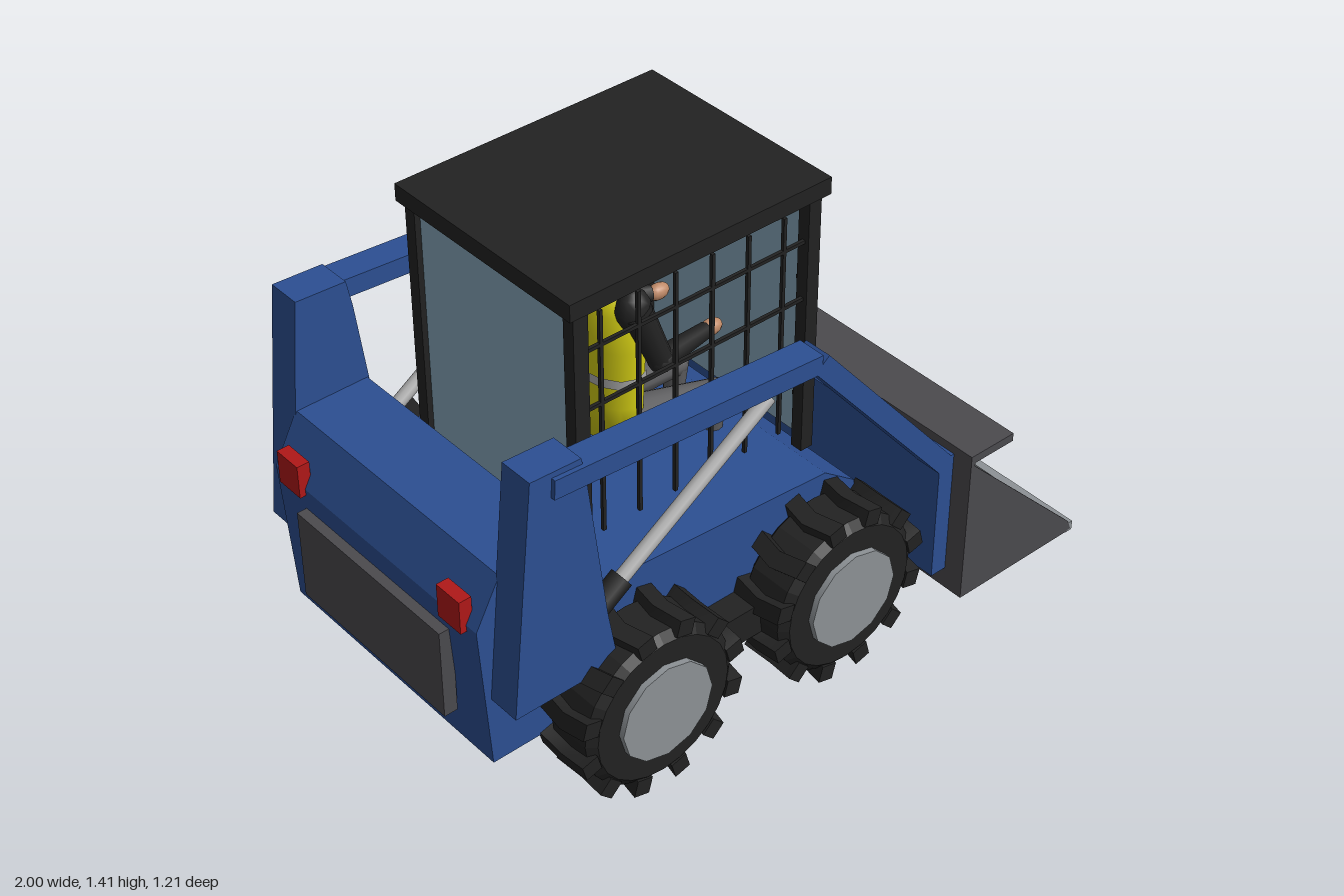
import * as THREE from 'three';

const mat = (name, color, double) => {
  const m = new THREE.MeshStandardMaterial({ color });
  m.name = name;
  if (double) m.side = THREE.DoubleSide;
  return m;
};

export function createModel() {
  const root = new THREE.Group();
  root.name = 'bucketVehicle';
  const blue = mat('bodyBlue', 0x2c4f92), black = mat('black', 0x222222), rim = mat('rimGrey', 0x8d9296),
    steel = mat('bucketSteel', 0x4b4a4e), glass = mat('glass', 0x87a8bc, true), silver = mat('silver', 0xb0b0b0),
    red = mat('lampRed', 0xb01818), yellow = mat('vestYellow', 0xd2cc14), skin = mat('skin', 0xc08a68),
    grey = mat('trouserGrey', 0x5c5c5e);

  const add = (name, geo, m, parent = root) => {
    const mesh = new THREE.Mesh(geo, m);
    mesh.name = name;
    parent.add(mesh);
    return mesh;
  };
  // box given by its limits on each axis
  const box = (name, m, x0, x1, y0, y1, z0, z1) => {
    const g = new THREE.BoxGeometry(x1 - x0, y1 - y0, z1 - z0);
    g.translate((x0 + x1) / 2, (y0 + y1) / 2, (z0 + z1) / 2);
    add(name, g, m);
  };
  // side profile in x and y, extruded from z0 to z1
  const slab = (name, m, pts, z0, z1) => {
    const shape = new THREE.Shape(pts.map(p => new THREE.Vector2(...p)));
    const g = new THREE.ExtrudeGeometry(shape, { depth: z1 - z0, bevelEnabled: false });
    g.translate(0, 0, z0);
    add(name, g, m);
  };
  // tapered rod between two points
  const rod = (name, m, a, b, r0, r1, parent) => {
    const p = new THREE.Vector3(...a), q = new THREE.Vector3(...b);
    const mesh = add(name, new THREE.CylinderGeometry(r1, r0, p.distanceTo(q), 10), m, parent);
    mesh.position.copy(p).add(q).multiplyScalar(0.5);
    mesh.quaternion.setFromUnitVectors(new THREE.Vector3(0, 1, 0), q.sub(p).normalize());
  };
  // rectangular beam lying in a plane of constant z
  const beam = (name, m, a, b, h, z0, z1) => {
    const dx = b[0] - a[0], dy = b[1] - a[1];
    const mesh = add(name, new THREE.BoxGeometry(Math.hypot(dx, dy), h, z1 - z0), m);
    mesh.position.set((a[0] + b[0]) / 2, (a[1] + b[1]) / 2, (z0 + z1) / 2);
    mesh.rotation.z = Math.atan2(dy, dx);
  };
  // z limits on the left or right side
  const sideZ = (s, a, b) => (s > 0 ? [a, b] : [-b, -a]);

  // chassis with engine hood and sloping deck
  slab('body', blue, [[-0.945, 0.23], [0.28, 0.23], [0.28, 0.48], [0.17, 0.562], [-0.57, 0.612], [-0.65, 0.618],
    [-0.68, 0.82], [-0.9, 0.82], [-0.975, 0.68]], -0.42, 0.42);
  box('rearGrille', steel, -1, -0.96, 0.335, 0.61, -0.3, 0.3);

  // wheel: faceted tyre, chevron lugs, rim discs
  const wheel = (x, s) => {
    const w = new THREE.Group();
    w.name = 'wheel';
    w.position.set(x, 0.275, s * 0.5);
    root.add(w);
    const t = new THREE.LatheGeometry([[0.14, -0.085], [0.215, -0.085], [0.24, -0.065], [0.24, 0.065],
      [0.215, 0.085], [0.14, 0.085]].map(p => new THREE.Vector2(...p)), 24).toNonIndexed();
    t.rotateX(Math.PI / 2);
    t.computeVertexNormals();
    add('tyre', t, black, w);
    for (let i = 0; i < 12; i++) {
      const a = (i + 0.5) * Math.PI / 6;
      const g = new THREE.BoxGeometry(0.05, 0.05, 0.176, 1, 1, 2);
      const p = g.attributes.position;
      for (let k = 0; k < p.count; k++) p.setX(k, p.getX(k) + Math.abs(p.getZ(k)) * 0.2 - 0.009);
      g.computeVertexNormals();
      const lug = add('lug', g, black, w);
      lug.position.set(Math.cos(a) * 0.243, Math.sin(a) * 0.243, 0);
      lug.rotation.z = a - Math.PI / 2;
    }
    const r = add('rim', new THREE.CylinderGeometry(0.147, 0.147, 0.205, 12), rim, w);
    r.rotation.x = Math.PI / 2;
  };

  for (const s of [1, -1]) {
    wheel(-0.53, s);
    wheel(0.115, s);
    box('chainCase', black, -0.3, -0.11, 0.23, 0.33, ...sideZ(s, 0.41, 0.5));
    box('tailLamp', red, -0.992, -0.955, 0.66, 0.76, ...sideZ(s, 0.29, 0.38));

    // lift tower, arm beams and ram
    slab('liftTower', blue, [[-0.942, 0.445], [-0.62, 0.445], [-0.65, 0.62], [-0.705, 1.06], [-0.72, 1.14],
      [-0.872, 1.147], [-0.905, 0.82]], ...sideZ(s, 0.415, 0.517));
    beam('upperArm', blue, [-0.81, 1.1], [0.035, 1.045], 0.056, ...sideZ(s, 0.445, 0.53));
    beam('lowerArm', blue, [0.035, 1.045], [0.53, 0.455], 0.058, ...sideZ(s, 0.445, 0.53));
    rod('ramBarrel', black, [-0.645, 0.59, s * 0.462], [-0.56, 0.648, s * 0.462], 0.032, 0.032);
    rod('ramRod', silver, [-0.57, 0.641, s * 0.462], [-0.08, 0.965, s * 0.462], 0.02, 0.02);

    // cab posts, side mesh and front grab bars
    box('rearPost', black, -0.585, -0.54, 0.6, 1.38, ...sideZ(s, 0.29, 0.328));
    box('frontPost', black, 0.168, 0.208, 0.58, 1.38, ...sideZ(s, 0.29, 0.328));
    for (let i = 0; i < 6; i++) {
      const x = -0.49 + i * 0.118;
      box('meshUpright', black, x - 0.005, x + 0.005, 0.665, 1.34, ...sideZ(s, 0.305, 0.315));
    }
    for (const y of [0.86, 1.065, 1.24])
      box('meshRail', black, -0.55, 0.18, y - 0.005, y + 0.005, ...sideZ(s, 0.305, 0.315));
    box('grabBar', black, 0.223, 0.237, 0.72, 1.135, ...sideZ(s, 0.274, 0.288));
    for (const y of [0.74, 1.11])
      box('grabBarMount', black, 0.18, 0.23, y - 0.006, y + 0.006, ...sideZ(s, 0.275, 0.287));

    // bucket cheek
    slab('bucketCheek', steel, [[0.545, 0.025], [0.995, 0.025], [0.98, 0.06], [0.545, 0.5]], ...sideZ(s, 0.582, 0.595));
  }

  // cab roof and windows
  box('roof', black, -0.603, 0.228, 1.37, 1.42, -0.34, 0.34);
  box('frontWindow', glass, 0.188, 0.196, 0.61, 1.345, -0.294, 0.294);
  box('rearWindow', glass, -0.568, -0.56, 0.63, 1.345, -0.294, 0.294);

  // coupler plate and bucket
  box('couplerPlate', blue, 0.492, 0.545, 0.09, 0.495, -0.53, 0.53);
  box('bucketBack', steel, 0.545, 0.56, 0.025, 0.52, -0.595, 0.595);
  box('bucketFloor', steel, 0.545, 0.98, 0.022, 0.042, -0.595, 0.595);
  box('bucketLip', steel, 0.545, 0.705, 0.496, 0.522, -0.595, 0.595);
  box('cuttingEdge', rim, 0.974, 1, 0.02, 0.05, -0.595, 0.595);

  // driver
  const driver = new THREE.Group();
  driver.name = 'driver';
  root.add(driver);
  const lathe = (name, m, pts, x, sx, sz) => {
    const mesh = add(name, new THREE.LatheGeometry(pts.map(p => new THREE.Vector2(...p)), 12), m, driver);
    mesh.position.x = x;
    mesh.scale.set(sx, 1, sz);
  };
  lathe('vest', yellow, [[0, 0.685], [0.074, 0.69], [0.077, 0.8], [0.083, 0.98], [0.08, 1.09], [0.055, 1.155], [0, 1.16]],
    -0.222, 1, 1.55);
  lathe('vestBand', silver, [[0.0815, 0.87], [0.083, 0.9]], -0.222, 1.01, 1.57);
  lathe('collar', black, [[0.066, 1.14], [0.048, 1.18], [0, 1.185]], -0.225, 1, 1.4);
  rod('neck', skin, [-0.22, 1.16, 0], [-0.213, 1.22, 0], 0.035, 0.035, driver);
  const ball = (name, m, x, y, z, rx, ry, rz) => {
    const b = add(name, new THREE.SphereGeometry(1, 12, 8), m, driver);
    b.position.set(x, y, z);
    b.scale.set(rx, ry, rz);
  };
  ball('head', skin, -0.22, 1.25, 0, 0.05, 0.068, 0.046);
  ball('hair', black, -0.24, 1.262, 0, 0.046, 0.068, 0.049);
  const cap = add('cap', new THREE.SphereGeometry(0.064, 12, 6, 0, Math.PI * 2, 0, Math.PI / 2), black, driver);
  cap.position.set(-0.238, 1.293, 0);
  cap.scale.z = 0.9;
  const peak = add('capPeak', new THREE.CylinderGeometry(0.05, 0.05, 0.01, 12), black, driver);
  peak.position.set(-0.155, 1.288, 0);
  peak.scale.x = 1.2;
  peak.rotation.z = -0.12;
  for (const s of [1, -1]) {
    // arms reaching forward
    ball('shoulder', black, -0.225, 1.11, s * 0.115, 0.05, 0.06, 0.042);
    rod('upperSleeve', black, [-0.225, 1.11, s * 0.13], [-0.165, 0.945, s * 0.15], 0.042, 0.034, driver);
    ball('elbow', black, -0.165, 0.945, s * 0.15, 0.036, 0.036, 0.036);
    rod('foreSleeve', black, [-0.165, 0.945, s * 0.15], [0.02, 0.925, s * 0.11], 0.034, 0.024, driver);
    ball('hand', skin, 0.045, 0.922, s * 0.105, 0.035, 0.024, 0.022);
    // seated legs
    rod('thigh', grey, [-0.23, 0.735, s * 0.065], [0.085, 0.68, s * 0.08], 0.062, 0.036, driver);
    ball('knee', grey, 0.085, 0.68, s * 0.08, 0.036, 0.036, 0.036);
    rod('shin', grey, [0.085, 0.68, s * 0.08], [0.075, 0.565, s * 0.08], 0.035, 0.028, driver);
  }
  return root;
}
